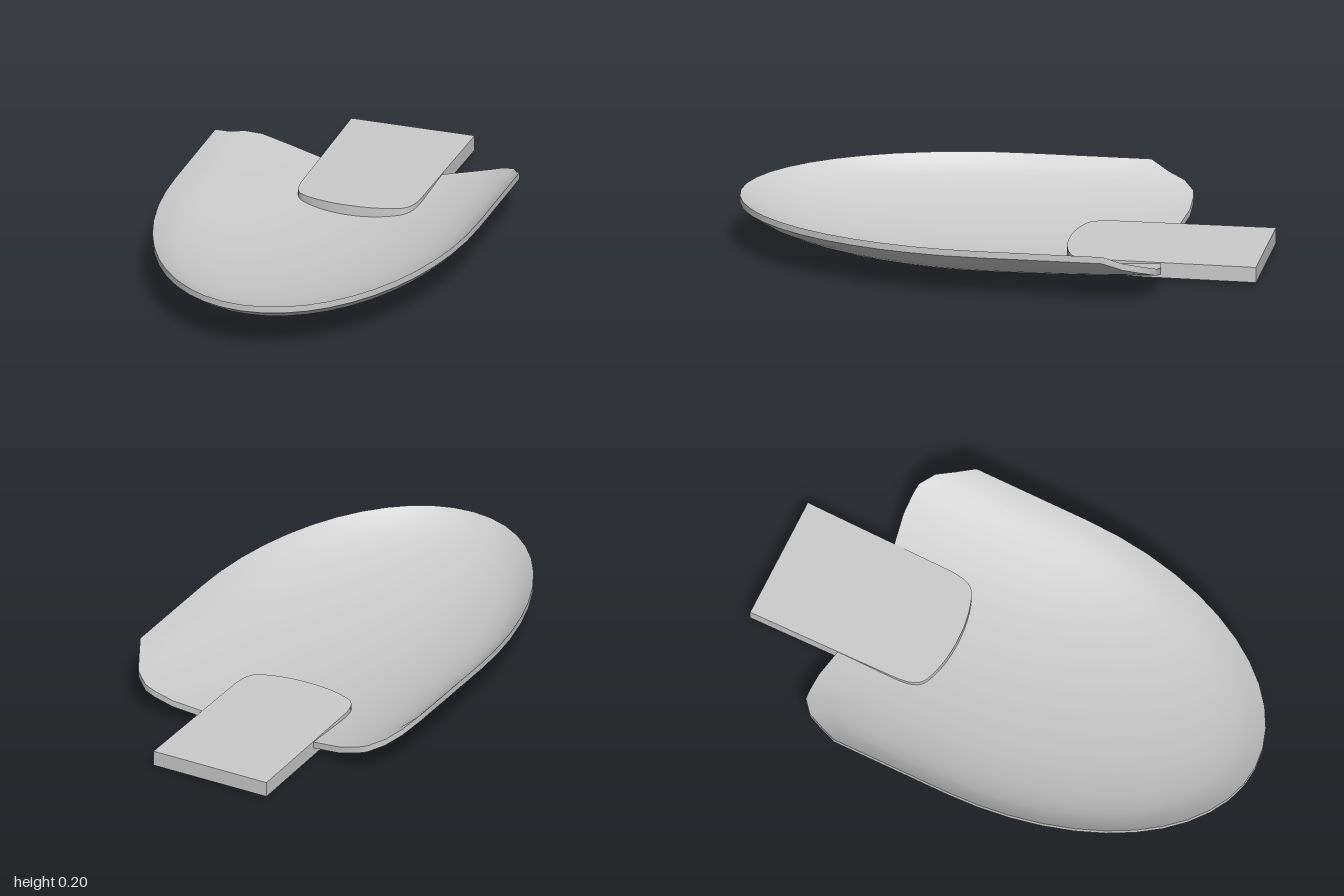
import * as THREE from 'three';

const HALF_WIDTH = 0.605, THICKNESS = 0.026, RINGS = 16;
const material = new THREE.MeshStandardMaterial({ color: 0xcccccc });

// Underside height: ellipsoidal in front, a trough at the back that lifts slightly
function bowlHeight(x, z) {
  const r = Math.min(1, Math.hypot(x / HALF_WIDTH, Math.max(0, z)));
  const f = (1 - Math.sqrt(1 - 0.94 * r * r)) / 0.755;
  const back = Math.max(0, -z) / 0.6;
  return 0.174 * f + 0.023 * back * back * (1 - f);
}

// Plan outline: half ellipse, straight sides, two rounded back lobes
function bowlOutline() {
  const points = [];
  for (let i = 0; i <= 24; i++) {
    const t = (i / 24) * Math.PI;
    points.push([HALF_WIDTH * Math.cos(t), Math.sin(t)]);
  }
  const side = [[0.605, -0.12], [0.605, -0.24], [0.605, -0.36], [0.605, -0.47], [0.57, -0.54],
    [0.535, -0.607], [0.48, -0.65], [0.44, -0.655], [0.36, -0.655], [0.24, -0.635], [0.12, -0.62]];
  for (const [x, z] of side) points.push([-x, z]);
  points.push([0, -0.62]);
  for (const [x, z] of [...side].reverse()) points.push([x, z]);
  return points;
}

function makeGeometry(positions, index) {
  const g = new THREE.BufferGeometry();
  g.setAttribute('position', new THREE.Float32BufferAttribute(positions, 3));
  g.setIndex(index);
  g.computeVertexNormals();
  return g;
}

// One face of the dish, as rings scaled from the centre to the outline
function dishSurface(outline, lift, up) {
  const n = outline.length, positions = [0, lift, 0], index = [];
  const at = (j, i) => (j === 0 ? 0 : 1 + (j - 1) * n + (i % n));
  const tri = (a, b, c) => (up ? index.push(a, b, c) : index.push(a, c, b));
  for (let j = 1; j <= RINGS; j++) {
    for (const [ox, oz] of outline) {
      const x = (ox * j) / RINGS, z = (oz * j) / RINGS;
      positions.push(x, bowlHeight(x, z) + lift, z);
    }
  }
  for (let j = 0; j < RINGS; j++) {
    for (let i = 0; i < n; i++) {
      const a = at(j, i), b = at(j, i + 1), c = at(j + 1, i + 1), d = at(j + 1, i);
      if (j > 0) tri(a, b, d);
      tri(b, c, d);
    }
  }
  return makeGeometry(positions, index);
}

// Thin upright band that closes the dish edge
function dishRim(outline) {
  const n = outline.length, positions = [], index = [];
  outline.forEach(([x, z], i) => {
    const y = bowlHeight(x, z), k = ((i + 1) % n) * 2;
    positions.push(x, y, z, x, y + THICKNESS, z);
    index.push(2 * i, 2 * i + 1, k, k, 2 * i + 1, k + 1);
  });
  return makeGeometry(positions, index);
}

// Flat tab with a rounded inner end
function tabGeometry() {
  const s = new THREE.Shape();
  s.moveTo(-0.245, 1);
  s.lineTo(-0.238, 0.42);
  s.bezierCurveTo(-0.238, 0.34, -0.225, 0.3, -0.19, 0.285);
  s.quadraticCurveTo(-0.11, 0.25, 0, 0.25);
  s.quadraticCurveTo(0.11, 0.25, 0.19, 0.285);
  s.bezierCurveTo(0.225, 0.3, 0.238, 0.34, 0.238, 0.42);
  s.lineTo(0.245, 1);
  s.closePath();
  const g = new THREE.ExtrudeGeometry(s, { depth: 0.06, bevelEnabled: false, curveSegments: 8 });
  return g.rotateX(-Math.PI / 2).translate(0, 0.01, 0);
}

export function createModel() {
  const model = new THREE.Group();
  const add = (parent, name, geometry) => {
    const mesh = new THREE.Mesh(geometry, material);
    mesh.name = name;
    parent.add(mesh);
  };

  // Dished blade
  const dish = new THREE.Group();
  dish.name = 'dish';
  const outline = bowlOutline();
  add(dish, 'dishInside', dishSurface(outline, THICKNESS, true));
  add(dish, 'dishUnderside', dishSurface(outline, 0, false));
  add(dish, 'dishRim', dishRim(outline));
  model.add(dish);

  // Mounting tab at the back
  add(model, 'mountingTab', tabGeometry());
  return model;
}
